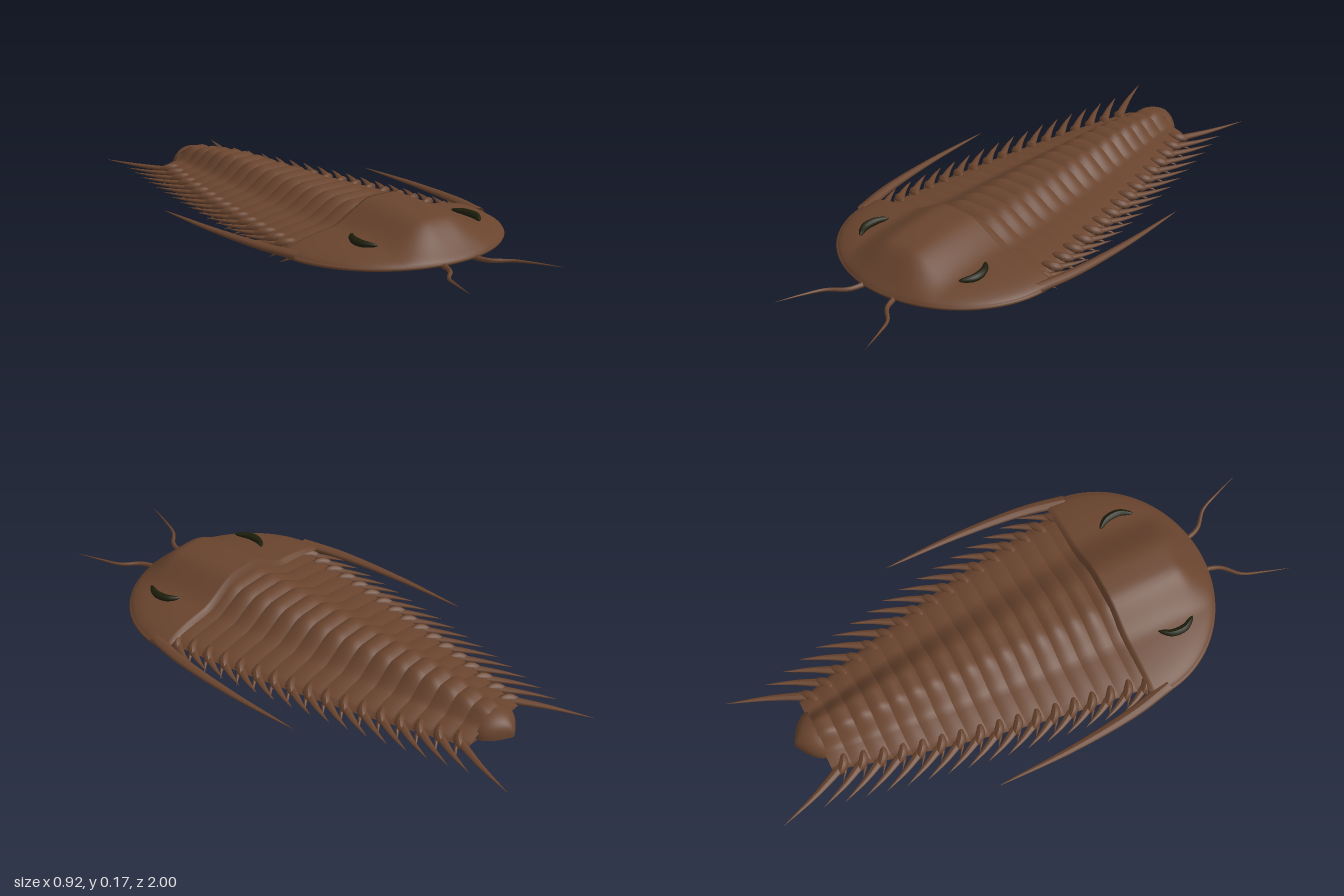
import * as THREE from 'three';

const shell = new THREE.MeshStandardMaterial({ color: 0x69442e, side: THREE.DoubleSide });
shell.name = 'brown shell';
const eyeDark = new THREE.MeshStandardMaterial({ color: 0x1e1f0c });
eyeDark.name = 'dark olive eye';

const smooth = THREE.MathUtils.smoothstep;

// Surface from a rule f(u, v) -> [x, y, z], with u across (-1..1) and v along +z (0..1)
function surface(nu, nv, f) {
  const pos = [], index = [];
  for (let j = 0; j <= nv; j++)
    for (let i = 0; i <= nu; i++) pos.push(...f((2 * i) / nu - 1, j / nv));
  for (let j = 0; j < nv; j++)
    for (let i = 0; i < nu; i++) {
      const a = j * (nu + 1) + i, b = a + nu + 1;
      index.push(a, b, a + 1, a + 1, b, b + 1);
    }
  const g = new THREE.BufferGeometry();
  g.setAttribute('position', new THREE.Float32BufferAttribute(pos, 3));
  g.setIndex(index);
  g.computeVertexNormals();
  return g;
}

// Tube along points whose thickness follows taper(t); flat squashes it in height
function taperedTube(points, radius, taper, flat = 1, segments = 10) {
  const curve = new THREE.CatmullRomCurve3(points.map((p) => new THREE.Vector3(...p)));
  const sides = 8;
  const g = new THREE.TubeGeometry(curve, segments, radius, sides);
  const p = g.attributes.position;
  for (let i = 0; i < p.count; i++) {
    const t = Math.floor(i / (sides + 1)) / segments;
    const c = curve.getPointAt(t), k = taper(t);
    p.setXYZ(i, c.x + (p.getX(i) - c.x) * k, c.y + (p.getY(i) - c.y) * k * flat, c.z + (p.getZ(i) - c.z) * k);
  }
  g.computeVertexNormals();
  return g;
}
const toPoint = (t) => Math.max(0.01, Math.pow(1 - t, 0.85));
const spindle = (t) => Math.sqrt(Math.max(0.0004, Math.sin(Math.PI * t)));

// Head shield: half-ellipse outline with a domed centre lobe
const HEAD_W = 0.41, HEAD_L = 0.38, HEAD_Z = 0.36;
function headPoint(u, v) {
  const rear = v < 0.08;
  const a = (Math.max(0, v - 0.08) / 0.92) * (Math.PI / 2);
  const z = rear ? 0.33 + (v / 0.08) * 0.03 : HEAD_Z + HEAD_L * Math.sin(a);
  const c = rear ? 1 : Math.cos(a);
  const x = HEAD_W * c * Math.sin((u * Math.PI) / 2);
  const dome = Math.max(0, c * Math.cos((u * Math.PI) / 2));
  const lobe = (1 - smooth(Math.abs(x), 0.04, 0.215)) * (1 - smooth(z, 0.6, 0.74));
  let y = 0.039 + 0.066 * Math.pow(dome, 1.12) + 0.065 * lobe;
  if (v === 0) y = 0.038 + (y - 0.038) * 0.7;
  return [x, y, v === 0 ? 0.328 : z];
}

// Body outline: half-width and height along the length, t = 0 at the head
const SEGMENTS = 17, BODY_FRONT = 0.36, BODY_LENGTH = 1.13;
const bodyWidth = (t) => 0.37 - 0.12 * t - 0.11 * t * t;
const bodyHeight = (t) => 1 - 0.3 * smooth(t, 0.72, 1.05);

// One arched body ring with a raised middle lobe
function ringGeometry(n) {
  return surface(40, 8, (u, v) => {
    const s = 1 - v;
    const t = (n + s * 1.06) / SEGMENTS;
    const lobe = 1 - smooth(Math.abs(u), 0.14, 0.56);
    const cheek = Math.sqrt(Math.max(0, 1 - u * u));
    const arch = Math.sin(Math.PI * (0.05 + 0.92 * s));
    const y = 0.033 + bodyHeight(t) * (0.04 * cheek + 0.052 * lobe + (0.008 * cheek + 0.007 * lobe) * arch);
    return [u * bodyWidth(t), y, BODY_FRONT - t * BODY_LENGTH];
  });
}

export function createModel() {
  const model = new THREE.Group();
  model.name = 'trilobite';
  const add = (name, geometry, material = shell) => {
    const mesh = new THREE.Mesh(geometry, material);
    mesh.name = name;
    model.add(mesh);
  };

  // Head shield and its rounded rim
  add('headShield', surface(56, 40, headPoint));
  const rim = [];
  for (let i = 0; i <= 24; i++) {
    const a = (i / 24) * Math.PI;
    rim.push([(HEAD_W - 0.003) * Math.cos(a), 0.038, HEAD_Z + (HEAD_L - 0.006) * Math.sin(a)]);
  }
  add('headRim', taperedTube(rim, 0.009, () => 1, 0.8, 64));

  // Closed underside of the head (open under the brow) and of the body
  add('headUnderside', surface(24, 12, (u, v) => {
    const a = v * (Math.PI / 2);
    return [-u * HEAD_W * Math.cos(a), 0.035 - 0.005 * (1 - u * u), HEAD_Z - 0.02 + 0.27 * Math.sin(a)];
  }));
  add('belly', surface(24, 24, (u, v) => {
    const t = 1 - v;
    return [-u * bodyWidth(t), 0.033 - 0.004 * (1 - u * u), BODY_FRONT - t * BODY_LENGTH];
  }));

  // Body rings
  for (let n = 0; n < SEGMENTS; n++) add('bodyRing', ringGeometry(n));

  // Tapering tail plate
  const tailZ = (a) => -0.765 - 0.089 * Math.sin(a);
  add('tailPlate', surface(24, 14, (u, v) => {
    const a = (1 - v) * (Math.PI / 2), b = (u * Math.PI) / 2;
    return [0.09 * Math.cos(a) ** 2 * Math.sin(b), 0.034 + 0.07 * Math.cos(a) * Math.cos(b), tailZ(a)];
  }));
  add('tailUnderside', surface(12, 8, (u, v) => {
    const a = (1 - v) * (Math.PI / 2);
    return [-u * 0.09 * Math.cos(a) ** 2, 0.033, tailZ(a)];
  }));

  for (const side of [1, -1]) {
    for (let n = 0; n < SEGMENTS; n++) {
      const t = (n + 0.5) / SEGMENTS;
      const w = bodyWidth(t), z = BODY_FRONT - t * BODY_LENGTH;
      const last = n === SEGMENTS - 1;
      const out = 0.045 + 0.035 * t + (last ? 0.015 : 0);
      const back = 0.11 + 0.08 * t + (last ? 0.08 : 0);

      // Rounded knob at the end of each ring
      add('ringKnob', taperedTube([
        [side * (w - 0.05), 0.052, z + 0.022],
        [side * (w - 0.012), 0.047, z + 0.006],
        [side * (w + 0.016), 0.036, z - 0.024],
      ], 0.017, spindle, 0.9));

      // Straight side spine sweeping backwards
      add('sideSpine', taperedTube([
        [side * (w - 0.015), 0.041, z + 0.012],
        [side * (w + out * 0.46), 0.04, z - back * 0.45],
        [side * (w + out), 0.04, z - back],
      ], 0.018, toPoint, 0.6));

      // Small hooked leg underneath
      add('leg', taperedTube([
        [side * (w - 0.05), 0.028, z + 0.02],
        [side * (w - 0.005), 0.02, z + 0.008],
        [side * (w + 0.035), 0.002, z - 0.02],
      ], 0.013, toPoint, 0.9, 6));
    }

    // Long cheek spine from the rear corner of the head
    add('cheekSpine', taperedTube([
      [side * 0.392, 0.046, 0.4], [side * 0.425, 0.046, 0.25],
      [side * 0.447, 0.045, 0], [side * 0.45, 0.044, -0.29],
    ], 0.024, (t) => Math.max(0.01, Math.pow(1 - t, 0.7)), 0.6, 20));

    // Feeler
    add('antenna', taperedTube([
      [side * 0.062, 0.034, 0.71], [side * 0.085, 0.032, 0.78], [side * 0.14, 0.034, 0.835],
      [side * 0.17, 0.038, 0.905], [side * 0.203, 0.042, 1],
    ], 0.01, toPoint, 1, 24));

    // Crescent eye
    add('eye', taperedTube([
      [side * 0.217, 0.1, 0.45], [side * 0.243, 0.096, 0.49],
      [side * 0.246, 0.094, 0.54], [side * 0.22, 0.094, 0.588],
    ], 0.0145, spindle, 0.9, 20), eyeDark);
  }
  return model;
}
